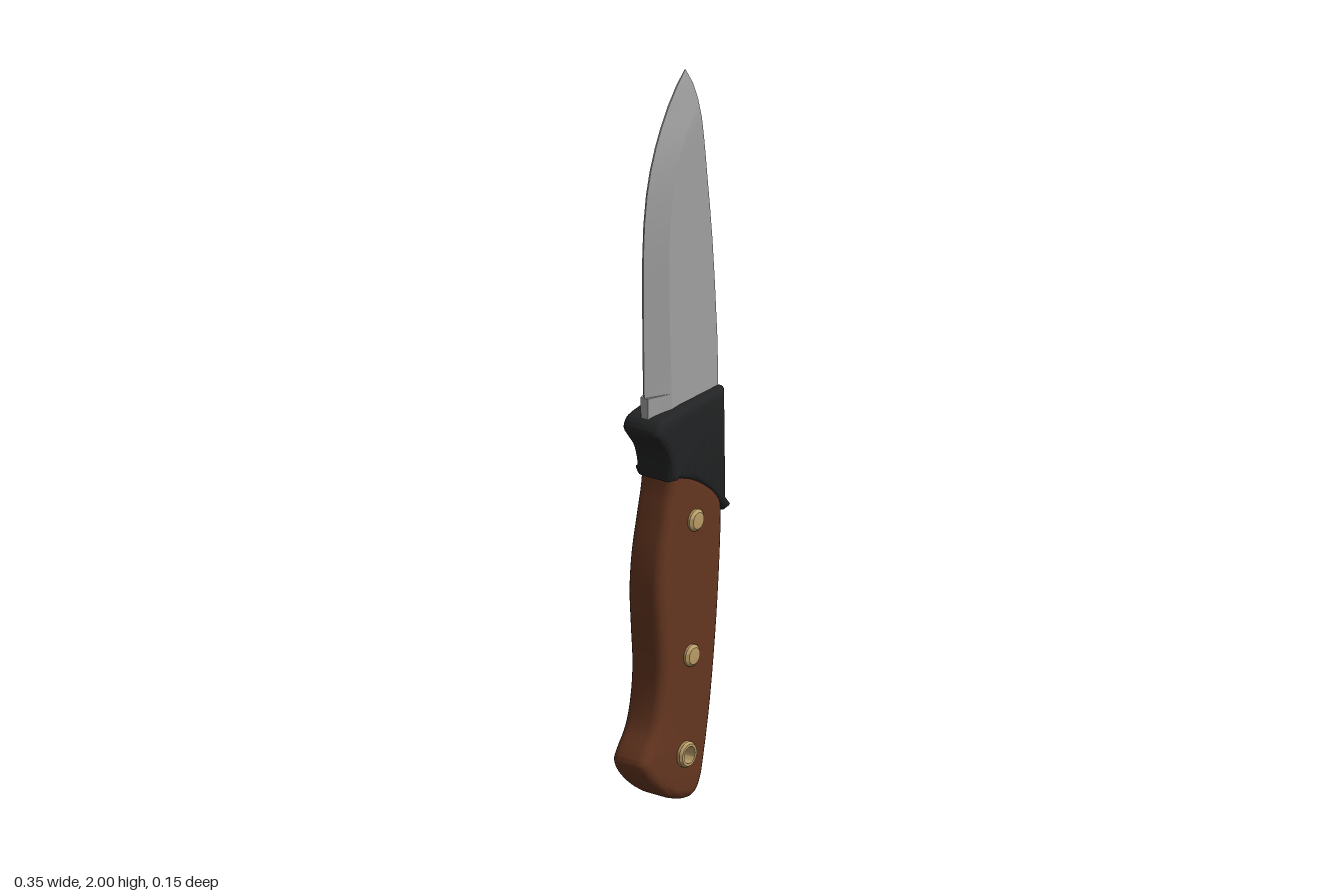
import * as THREE from 'three';
import { toCreasedNormals } from 'three/addons/utils/BufferGeometryUtils.js';

const material = (name, color) => {
  const m = new THREE.MeshStandardMaterial({ color });
  m.name = name;
  return m;
};

// Smooth run of points through a few [x, y] pairs
const run = (pairs, n) =>
  new THREE.SplineCurve(pairs.map(([x, y]) => new THREE.Vector2(x, y))).getPoints(n);

// Slab with rounded rims, centred on z = 0, that stays inside its outline
function roundedSlab(shape, halfThickness, radius) {
  const geo = new THREE.ExtrudeGeometry(shape, {
    depth: 2 * (halfThickness - radius), bevelEnabled: true, bevelThickness: radius,
    bevelSize: radius, bevelOffset: -radius, bevelSegments: 5, curveSegments: 24,
  });
  geo.translate(0, 0, radius - halfThickness);
  return geo;
}

// Blade lofted from hexagonal sections: [y, edge x, grind x, spine x, half thickness, half edge]
function bladeGeometry() {
  const rows = [
    [1.04, -0.096, -0.028, 0.165, 0.036, 0.012],
    [1.14, -0.098, -0.028, 0.165, 0.036, 0.012],
    [1.14, -0.1, -0.028, 0.165, 0.036, 0.002],
    [1.25, -0.102, -0.033, 0.161, 0.036, 0.002],
    [1.4, -0.104, -0.038, 0.151, 0.036, 0.002],
    [1.52, -0.104, -0.039, 0.141, 0.036, 0.002],
    [1.62, -0.099, -0.033, 0.13, 0.036, 0.002],
    [1.7, -0.088, -0.02, 0.12, 0.036, 0.002],
    [1.76, -0.073, -0.005, 0.113, 0.036, 0.002],
    [1.82, -0.051, 0.021, 0.105, 0.036, 0.002],
    [1.87, -0.027, 0.052, 0.098, 0.035, 0.002],
    [1.92, 0.003, 0.09, 0.091, 0.029, 0.002],
    [1.965, 0.037, 0.082, 0.083, 0.018, 0.002],
    [2.0, 0.071, 0.073, 0.074, 0.001, 0.001],
  ];
  const pos = [], index = [];
  for (const [y, e, g, s, t, h] of rows)
    pos.push(e, y, h, g, y, t, s, y, t, s, y, -t, g, y, -t, e, y, -h);
  for (let i = 0; i < rows.length - 1; i++)
    for (let j = 0; j < 6; j++) {
      const a = i * 6 + j, b = i * 6 + (j + 1) % 6;
      index.push(a, b, b + 6, a, b + 6, a + 6);
    }
  // End caps
  const top = (rows.length - 1) * 6;
  for (let j = 1; j < 5; j++) index.push(0, j + 1, j, top, top + j, top + j + 1);
  const geo = new THREE.BufferGeometry();
  geo.setAttribute('position', new THREE.Float32BufferAttribute(pos, 3));
  geo.setIndex(index);
  return toCreasedNormals(geo, 0.3);
}

// Wooden grip; its top is tucked inside the bolster
function gripGeometry(holeX, holeY) {
  const outline = run([
    [0.159, 0.84], [0.165, 0.75], [0.16, 0.63], [0.145, 0.45], [0.12, 0.25], [0.092, 0.1],
    [0.077, 0.045], [0.053, 0.012], [0.015, 0.005], [-0.05, 0.026], [-0.11, 0.066],
    [-0.152, 0.108], [-0.169, 0.145], [-0.155, 0.177], [-0.12, 0.23], [-0.1, 0.3],
    [-0.092, 0.39], [-0.099, 0.5], [-0.104, 0.6], [-0.095, 0.7], [-0.073, 0.8],
    [-0.055, 0.88], [-0.05, 0.95],
  ], 110);
  const shape = new THREE.Shape(outline);
  const r = 0.03;
  shape.holes.push(new THREE.Path().absarc(holeX, holeY, r, 0, Math.PI * 2, true));
  const geo = roundedSlab(shape, 0.058, 0.028);
  // Keep the lanyard hole straight: pull its rounded rims back to one radius
  const p = geo.attributes.position;
  for (let i = 0; i < p.count; i++) {
    const dx = p.getX(i) - holeX, dy = p.getY(i) - holeY, d = Math.hypot(dx, dy);
    if (d < 0.07) p.setXY(i, holeX + dx * r / d, holeY + dy * r / d);
  }
  return toCreasedNormals(geo, 0.7);
}

// Bolster with finger guard and a sloping lower edge
function bolsterGeometry() {
  const nose = run([
    [0.0, 1.1], [-0.06, 1.092], [-0.1, 1.08], [-0.116, 1.05], [-0.1, 1.023],
    [-0.075, 0.99], [-0.06, 0.945], [-0.057, 0.905],
  ], 40);
  const seam = run([
    [-0.057, 0.905], [-0.02, 0.902], [0.04, 0.88], [0.1, 0.838], [0.14, 0.795], [0.167, 0.762],
  ], 24);
  const shape = new THREE.Shape([new THREE.Vector2(0.167, 1.107), ...nose, ...seam.slice(1)]);
  return toCreasedNormals(roundedSlab(shape, 0.064, 0.02), 0.7);
}

// Turned part lying along z
function turned(profile) {
  const geo = new THREE.LatheGeometry(profile.map(([x, y]) => new THREE.Vector2(x, y)), 28);
  geo.rotateX(Math.PI / 2);
  return toCreasedNormals(geo, 0.5);
}

export function createModel() {
  const steel = material('steel', 0xa0a0a0);
  const black = material('black bolster', 0x222324);
  const wood = material('brown wood', 0x653620);
  const brass = material('brass', 0xb89b66);

  const model = new THREE.Group();
  model.name = 'knife';
  const add = (name, geo, mat, x = 0, y = 0) => {
    const mesh = new THREE.Mesh(geo, mat);
    mesh.name = name;
    mesh.position.set(x, y, 0);
    model.add(mesh);
  };

  add('blade', bladeGeometry(), steel);
  add('bolster', bolsterGeometry(), black);
  add('grip', gripGeometry(0, 0.138), wood);

  // Solid pins
  const h = 0.073, r = 0.03;
  const pin = turned([[0, -h], [r * 0.75, -h + 0.002], [r, -h + 0.009],
    [r, h - 0.009], [r * 0.75, h - 0.002], [0, h]]);
  add('upperPin', pin, brass, 0.04, 0.775);
  add('middlePin', pin, brass, 0.023, 0.405);

  // Open lanyard tube
  const tube = turned([[0.023, -h], [0.03, -h], [0.035, -h + 0.007],
    [0.035, h - 0.007], [0.03, h], [0.023, h], [0.023, -h]]);
  add('lanyardTube', tube, brass, 0, 0.138);

  return model;
}
